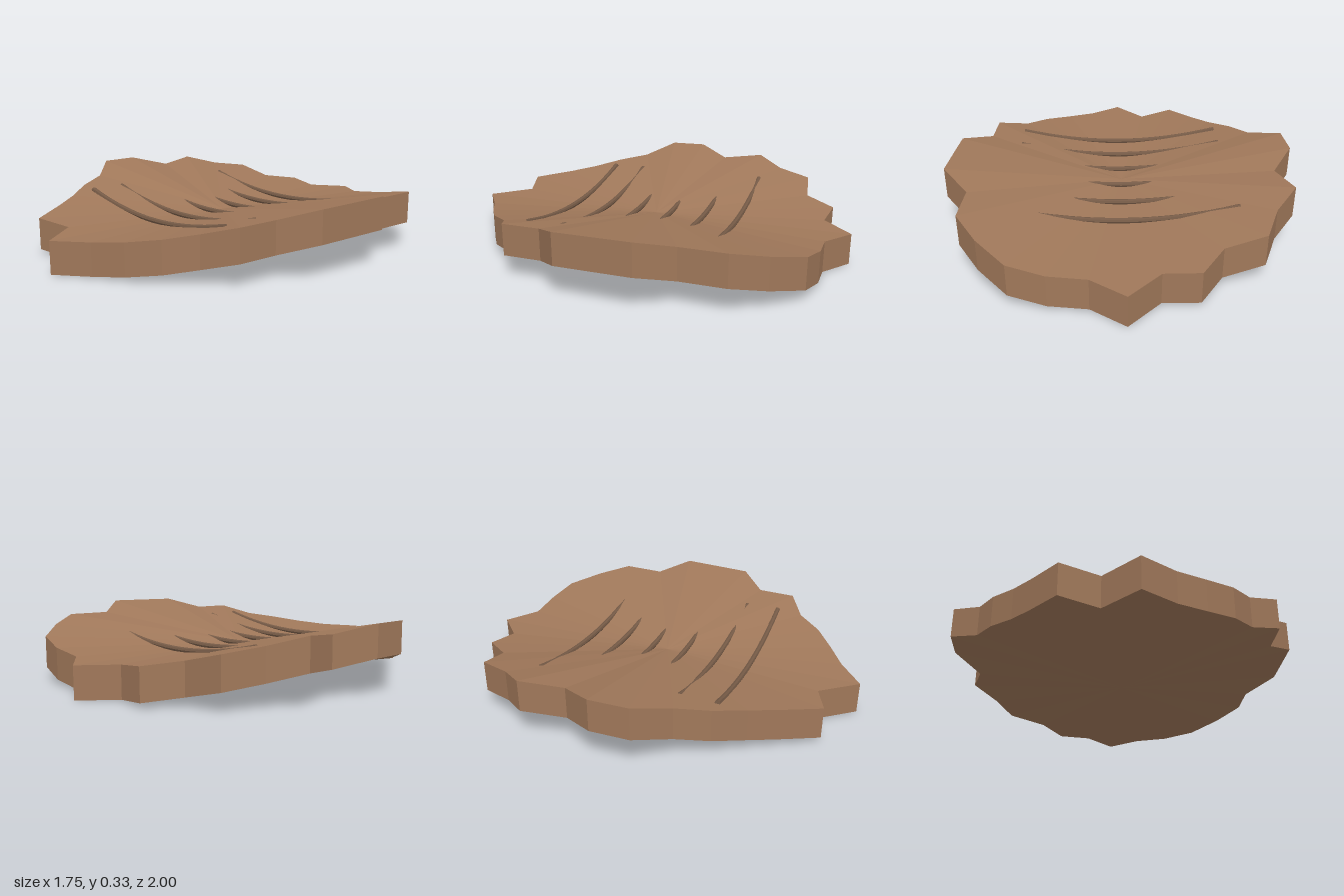
import * as THREE from 'three';

const THICKNESS = 0.155;
const CURVE = 0.23; // the slab bends upward as CURVE * x^2

// jagged rim as [x, z], from the back point round by +x
const RIM = [
  [0, -1], [0.16, -0.89], [0.34, -0.89], [0.51, -0.855], [0.65, -0.72], [0.755, -0.57],
  [0.745, -0.35], [0.875, -0.2], [0.862, 0], [0.85, 0.175], [0.71, 0.31], [0.7, 0.505],
  [0.545, 0.59], [0.44, 0.71], [0.3, 0.805], [0.16, 0.885], [0, 1], [-0.15, 0.825],
  [-0.33, 0.885], [-0.45, 0.71], [-0.535, 0.59], [-0.64, 0.46], [-0.72, 0.315], [-0.87, 0.18],
  [-0.875, -0.01], [-0.76, -0.18], [-0.815, -0.39], [-0.7, -0.53], [-0.625, -0.705],
  [-0.43, -0.73], [-0.32, -0.88], [-0.15, -0.855],
];

// top fan, bottom fan and rim wall, one slice per rim edge
function slabGeometry() {
  const pos = [];
  const at = ([x, z], lift) => [x, CURVE * x * x + lift, z];
  const tri = (...corners) => corners.forEach((c) => pos.push(...c));
  const mid = [0, 0];
  RIM.forEach((a, i) => {
    const b = RIM[(i + 1) % RIM.length];
    const aLow = at(a, 0), bLow = at(b, 0);
    const aTop = at(a, THICKNESS), bTop = at(b, THICKNESS);
    tri(at(mid, THICKNESS), bTop, aTop);
    tri(at(mid, 0), aLow, bLow);
    tri(bLow, aLow, aTop);
    tri(bLow, aTop, bTop);
  });
  const geo = new THREE.BufferGeometry();
  geo.setAttribute('position', new THREE.Float32BufferAttribute(pos, 3));
  geo.computeVertexNormals();
  return geo;
}

// thin round rod that follows the bend, partly sunk into the slab
function ridgeGeometry() {
  const points = [];
  for (let i = 0; i <= 10; i++) {
    const x = -0.55 + i * 0.11;
    points.push(new THREE.Vector3(x, THICKNESS + 0.01 + CURVE * x * x, 0));
  }
  const section = new THREE.Shape().absarc(0, 0, 0.0135, 0, Math.PI * 2);
  return new THREE.ExtrudeGeometry(section, {
    steps: 16,
    curveSegments: 4,
    bevelEnabled: false,
    extrudePath: new THREE.CatmullRomCurve3(points),
  });
}

export function createModel() {
  const bark = new THREE.MeshStandardMaterial({ color: 0xa0785a, flatShading: true });
  bark.name = 'bark brown';
  const dark = new THREE.MeshStandardMaterial({ color: 0x755a46, flatShading: true });
  dark.name = 'dark brown';

  const model = new THREE.Group();
  model.name = 'barkPiece';

  const slab = new THREE.Mesh(slabGeometry(), bark);
  slab.name = 'slab';
  model.add(slab);

  // six parallel ridges across the top
  const ridgeGeo = ridgeGeometry();
  for (let i = 0; i < 6; i++) {
    const ridge = new THREE.Mesh(ridgeGeo, dark);
    ridge.name = `ridge${i + 1}`;
    ridge.position.z = -0.435 + i * 0.178;
    model.add(ridge);
  }
  return model;
}
